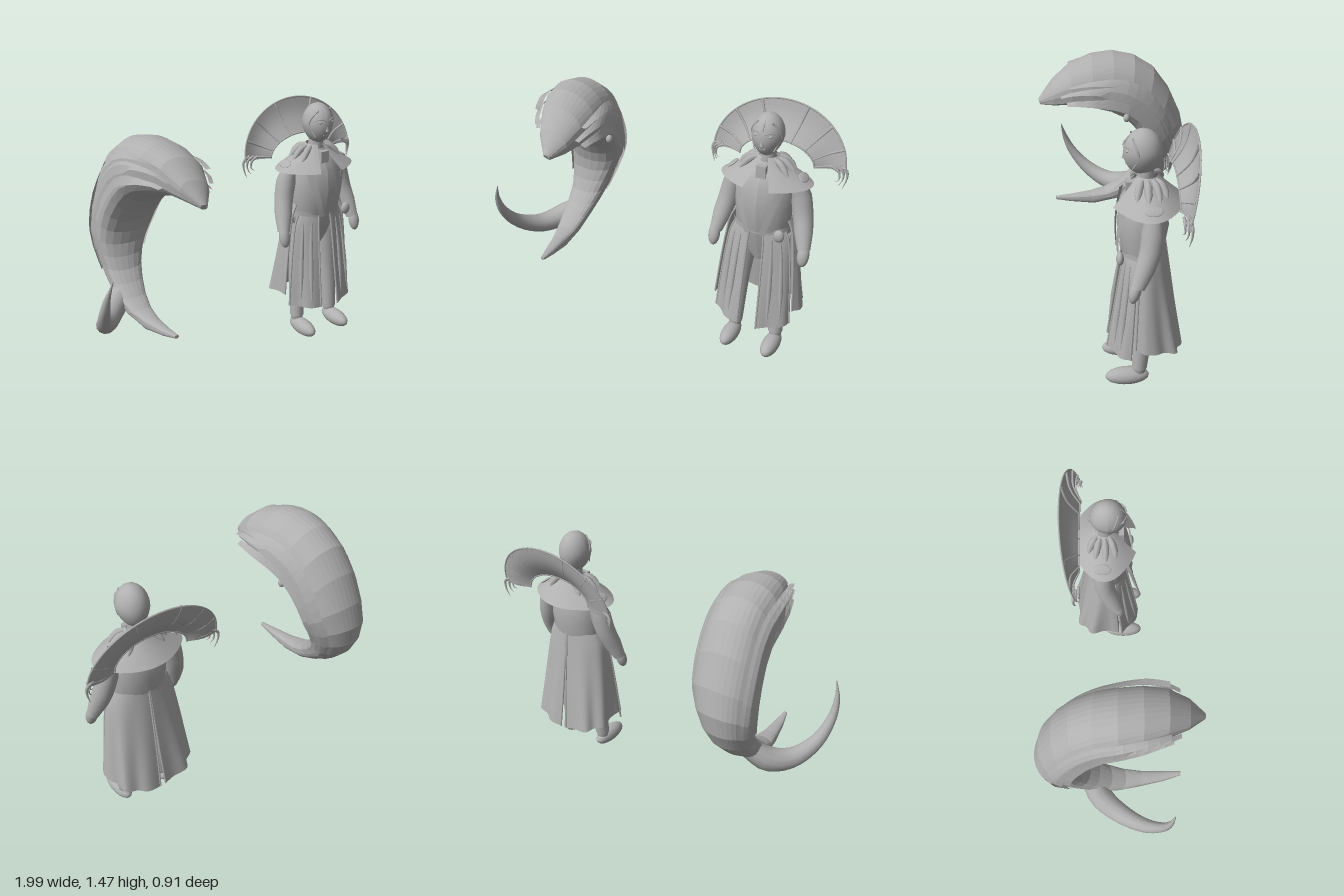
import * as THREE from 'three';

const V = (x, y, z) => new THREE.Vector3(x, y, z);
const clay = new THREE.MeshStandardMaterial({ color: 0xb0b0b0, side: THREE.DoubleSide });
clay.name = 'grey clay';

function add(parent, name, geo) {
  const m = new THREE.Mesh(geo, clay);
  m.name = name;
  parent.add(m);
  return m;
}

// surface from a point rule f(u, v), u and v in 0..1; flip turns it to face the other way
function surface(f, nu, nv, flat = false, flip = false) {
  const pos = [], idx = [];
  for (let j = 0; j <= nv; j++)
    for (let i = 0; i <= nu; i++) pos.push(...f(flip ? 1 - i / nu : i / nu, j / nv).toArray());
  for (let j = 0; j < nv; j++)
    for (let i = 0; i < nu; i++) {
      const a = j * (nu + 1) + i, b = a + nu + 1;
      idx.push(a, a + 1, b, a + 1, b + 1, b);
    }
  let g = new THREE.BufferGeometry();
  g.setAttribute('position', new THREE.Float32BufferAttribute(pos, 3));
  g.setIndex(idx);
  if (flat) g = g.toNonIndexed();
  g.computeVertexNormals();
  return g;
}

// tube whose radius follows a list of values
function taper(points, radii, segs = 16, sides = 10) {
  const curve = new THREE.CatmullRomCurve3(points);
  const g = new THREE.TubeGeometry(curve, segs, 1, sides);
  const p = g.attributes.position, q = V(0, 0, 0);
  for (let i = 0; i <= segs; i++) {
    const c = curve.getPointAt(i / segs), k = (i / segs) * (radii.length - 1);
    const a = Math.min(Math.floor(k), radii.length - 2);
    const r = THREE.MathUtils.lerp(radii[a], radii[a + 1], k - a);
    for (let j = 0; j <= sides; j++) {
      const n = i * (sides + 1) + j;
      q.fromBufferAttribute(p, n).sub(c).multiplyScalar(r).add(c);
      p.setXYZ(n, q.x, q.y, q.z);
    }
  }
  return g;
}

function ball(parent, name, x, y, z, rx, ry, rz) {
  const m = add(parent, name, new THREE.SphereGeometry(1, 24, 16));
  m.position.set(x, y, z);
  m.scale.set(rx, ry, rz);
  return m;
}

// creature stations: outer z, y, inner z, y, centre x, half width
const stations = [
  [.455, 1.215, .44, 1.185, -.485, .02], [.37, 1.32, .36, 1.195, -.49, .085],
  [.26, 1.41, .25, 1.2, -.5, .13], [.13, 1.455, .13, 1.17, -.52, .16],
  [0, 1.465, .02, 1.13, -.54, .17], [-.13, 1.435, -.06, 1.08, -.55, .17],
  [-.25, 1.355, -.12, 1.01, -.565, .17], [-.345, 1.22, -.165, .94, -.58, .172],
  [-.42, 1.05, -.19, .87, -.595, .168], [-.45, .91, -.195, .8, -.615, .152],
  [-.435, .79, -.18, .73, -.63, .13], [-.385, .69, -.15, .66, -.64, .11],
  [-.3, .6, -.1, .6, -.65, .095], [-.18, .51, -.03, .54, -.66, .08],
  [-.05, .44, .05, .5, -.66, .065], [.12, .405, .14, .485, -.65, .045],
  [.27, .43, .27, .475, -.635, .028], [.37, .455, .37, .475, -.62, .012],
];

function bodyPoint(s, t, k = 1) {
  const a = Math.min(Math.floor(s), stations.length - 2);
  const [oz, oy, iz, iy, cx, hw] = stations[a].map((v, i) => THREE.MathUtils.lerp(v, stations[a + 1][i], s - a));
  const sn = Math.sin(t), h = k * Math.sign(sn) * Math.pow(Math.abs(sn), sn < 0 ? .5 : .88) / 2;
  const roll = .23 * Math.max(0, 1 - s / 9), c = Math.cos(t) * hw * k;
  return V(cx + c, (oy + iy) / 2 + (oy - iy) * h - roll * c, (oz + iz) / 2 + (oz - iz) * h);
}

function buildCreature() {
  const g = new THREE.Group();
  g.name = 'creature';
  const last = stations.length - 1;
  add(g, 'curvedBody', surface((u, v) => bodyPoint(v * last, -u * Math.PI * 2), 20, last, true));
  for (const v of [0, last])
    add(g, 'bodyEnd', surface((u, w) => bodyPoint(v, u * Math.PI * 2, Math.max(w, .001)), 12, 1, true, v > 0));
  // shell over the back
  add(g, 'backShell', surface((u, v) => bodyPoint(v * 12, Math.PI * (.84 - .68 * u), 1.03), 12, 12, true));
  // overlapping plates along both flanks, flaring to a point toward the head
  const plates = [[.5, .22, 1.9, 11.5], [.2, -.02, 1.4, 11], [-.04, -.22, 1.7, 10]];
  for (const side of [1, -1])
    for (const [t0, t1, s0, s1] of plates)
      add(g, 'flankPlate', surface((u, v) => {
        const t = t0 + (t1 - t0) * (.5 + (u - .5) * Math.min(1, .1 + v * 3.5));
        return bodyPoint(s0 + (s1 - s0) * v, side > 0 ? t : Math.PI - t,
          1.01 + u * .08 + (.4 + .6 * u) * .27 * Math.pow(1 - v, 4));
      }, 2, 20, true, side < 0));
  // side tail curling forward
  add(g, 'hookedTail', taper(
    [V(-.655, .57, -.16), V(-.77, .485, -.09), V(-.86, .465, .02), V(-.935, .53, .15),
      V(-.968, .65, .25), V(-.965, .76, .295), V(-.94, .85, .315)],
    [.055, .072, .06, .047, .033, .02, .002], 20, 12));
  ball(g, 'bellyBead', -.39, 1.11, -.07, .02, .025, .02);
  return g;
}

// coat panel point: angle from the front, h from waist (0) to hem (1); the back is squarer
const coatPoint = (a, h, top, bottom, wave) => {
  const sn = Math.sin(a), cs = Math.cos(a), square = cs < 0 ? 1 - .36 * h : 1;
  const fold = 1 + wave * h * Math.sin(a * (wave < 0 ? -9 : 9));
  const rx = (.165 + .085 * Math.sqrt(h)) * fold, rz = (.11 + .09 * h) * fold;
  return V(Math.sign(sn) * Math.pow(Math.abs(sn), square) * rx, top + (bottom - top) * h,
    -.065 + Math.sign(cs) * Math.pow(Math.abs(cs), square) * rz);
};

function buildFigure() {
  const g = new THREE.Group();
  g.name = 'robedFigure';
  g.position.x = .59;

  // torso
  const rows = [[.59, .045, .05], [.66, .11, .07], [.8, .155, .11], [.95, .165, .135], [1.08, .16, .12], [1.14, .11, .08], [1.2, .04, .04]];
  add(g, 'torso', surface((u, v) => {
    const [y, rx, rz] = rows[Math.round(v * 6)], a = u * Math.PI * 2;
    return V(Math.sin(a) * rx, y, -.06 + Math.cos(a) * rz);
  }, 24, 6));
  add(g, 'neck', new THREE.CylinderGeometry(.042, .05, .16, 16)).position.set(0, 1.2, -.07);
  add(g, 'throatPiece', new THREE.BoxGeometry(.055, .09, .03)).position.set(0, 1.15, .015);
  const belt = add(g, 'belt', new THREE.CylinderGeometry(.168, .168, .04, 28, 1, true));
  belt.scale.z = .68;
  belt.position.set(0, .81, -.065);

  // head, narrowed toward the chin
  const skull = new THREE.SphereGeometry(.12, 28, 20), p = skull.attributes.position;
  for (let i = 0; i < p.count; i++) {
    const y = p.getY(i), k = y < 0 ? 1 + y * 1.6 : 1;
    p.setXYZ(i, p.getX(i) * .74 * k, y, p.getZ(i) * .83);
  }
  skull.computeVertexNormals();
  add(g, 'head', skull).position.set(0, 1.352, -.057);
  add(g, 'nose', new THREE.ConeGeometry(.012, .05, 8)).position.set(0, 1.345, .038);
  add(g, 'mouth', new THREE.BoxGeometry(.035, .008, .012)).position.set(0, 1.298, .025);
  add(g, 'browRidge', taper([V(0, 1.46, -.02), V(0, 1.43, .02), V(0, 1.4, .036)], [.004, .004], 8, 6));

  // fan collar behind the head
  const fan = (a, w) => V(Math.sin(a) * (.22 + .17 * w), 1.12 + Math.cos(a) * (.13 + .2 * w),
    -.22 - w * (.02 + .08 * Math.cos(a)) - .02 * Math.sin(w * Math.PI));
  add(g, 'fanCollar', surface((u, v) => fan((u - .5) * Math.PI, v), 28, 6));
  for (const w of [0, 1])
    add(g, 'collarRim', new THREE.TubeGeometry(new THREE.CatmullRomCurve3(
      Array.from({ length: 13 }, (_, i) => fan((i / 12 - .5) * Math.PI, w))), 36, .005, 6));

  // flared capelet open at the front
  add(g, 'capelet', surface((u, v) => {
    const a = .3 + u * (Math.PI * 2 - .6), flare = 1 + .03 * v * Math.cos(a * 4);
    return V(Math.sin(a) * (.055 + .2 * v) * flare, 1.225 - .14 * Math.pow(v, .9),
      -.08 + Math.cos(a) * (.055 + .13 * v) * flare);
  }, 40, 6, false, true));

  for (const s of [1, -1]) {
    // face
    ball(g, 'eye', s * .037, 1.372, .022, .016, .008, .012).rotation.z = s * .2;
    add(g, 'maskEdge', taper([V(s * .04, 1.44, 0), V(s * .078, 1.39, -.02), V(s * .08, 1.35, -.03), V(s * .055, 1.28, .0)],
      [.005, .006, .004], 14, 6));
    add(g, 'eyebrow', taper([V(s * .012, 1.385, .042), V(s * .04, 1.395, .032), V(s * .065, 1.385, .01)], [.004, .003], 8, 6));

    // legs and shoes
    add(g, 'leg', taper([V(s * .09, .74, -.06), V(s * .118, .4, -.06), V(s * .127, .11, -.037)], [.075, .054, .042], 12, 16));
    add(g, 'ankle', new THREE.CylinderGeometry(.04, .035, .03, 16)).position.set(s * .127, .1, -.037);
    ball(g, 'shoe', s * .128, .056, .03, .05, .05, .12);

    // arms and hands
    add(g, 'arm', taper([V(s * .16, 1.1, -.09), V(s * .195, 1.01, -.09), V(s * .222, .9, -.075), V(s * .245, .8, -.04), V(s * .262, .72, -.01)],
      [.04, .06, .057, .052, .036], 16, 16));
    ball(g, 'hand', s * .266, .695, .005, .034, .066, .03).rotation.x = -.25;

    // coat lapels
    add(g, 'lapel', surface((u, v) => {
      const x = s * (.145 - .085 * v - .035 * u);
      return V(x, 1.1 - .3 * v, -.045 + Math.sqrt(1 - (x / .18) ** 2) * (.122 + .012 * Math.sin(v * 3)));
    }, 2, 8, false, s < 0));

    // front panels, and a long panel round the side and back, each with edge trim
    const panels = [['frontPanel', .24, 1.12, .81, .215, .23, .035], ['backPanel', 1.26, 3.125, .87, .3, .225, .05]];
    for (const [name, a0, a1, top, b0, b1, wave] of panels) {
      const at = (u, h) => coatPoint(s * (a0 + (a1 - a0) * u), h, top, b0 + (b1 - b0) * u, s * wave);
      add(g, name, surface(at, 32, 10, false, s > 0));
      for (const u of [0, 1])
        add(g, 'panelTrim', new THREE.TubeGeometry(new THREE.CatmullRomCurve3(
          [0, .1, .3, .6, 1].map(h => at(u, h))), 14, .006, 6));
    }
    // raised pleats on the front panels
    for (const a of [.5, .8])
      add(g, 'pleat', taper([.08, .3, .6, .9].map(h => coatPoint(s * a, h, .81, .215, s * .035)), [.004, .012, .014, .004], 12, 8));

    // shoulder ruffles and badges
    for (const a of [1, 1.5, 2, 2.4]) {
      const sx = Math.sin(a) * s, cz = Math.cos(a);
      add(g, 'shoulderRuffle', taper(
        [V(sx * .05, 1.215, -.08 + cz * .05), V(sx * .1, 1.2, -.08 + cz * .085), V(sx * .14, 1.165, -.08 + cz * .11), V(sx * .165, 1.135, -.08 + cz * .12)],
        [.008, .02, .02, .006], 12, 8));
    }
    ball(g, 'shoulderBadge', s * .205, 1.122, -.09, .03, .008, .05).rotation.z = -s * .6;

    // collar ribs and hanging claws
    for (const a of [.35, .8, 1.2, 1.5])
      add(g, 'collarRib', taper([0, .5, 1].map(w => fan(s * a, w).add(V(0, 0, .004))), [.004, .006, .008], 8, 6));
    for (let i = 0; i < 3; i++) {
      const x = .385 - i * .018, z = -.25 + i * .015;
      add(g, 'collarClaw', taper([V(s * (x - .03), 1.15, z), V(s * (x + .01), 1.125, z), V(s * (x + .012), 1.08, z), V(s * (x - .005), 1.02 + i * .025, z + .01)],
        [.008, .008, .005, .001], 10, 6));
    }
  }

  // pouch hung from the belt
  ball(g, 'pouch', .14, .82, .07, .03, .037, .02);
  return g;
}

export function createModel() {
  const model = new THREE.Group();
  model.name = 'figureWithCreature';
  model.add(buildCreature(), buildFigure());
  return model;
}
